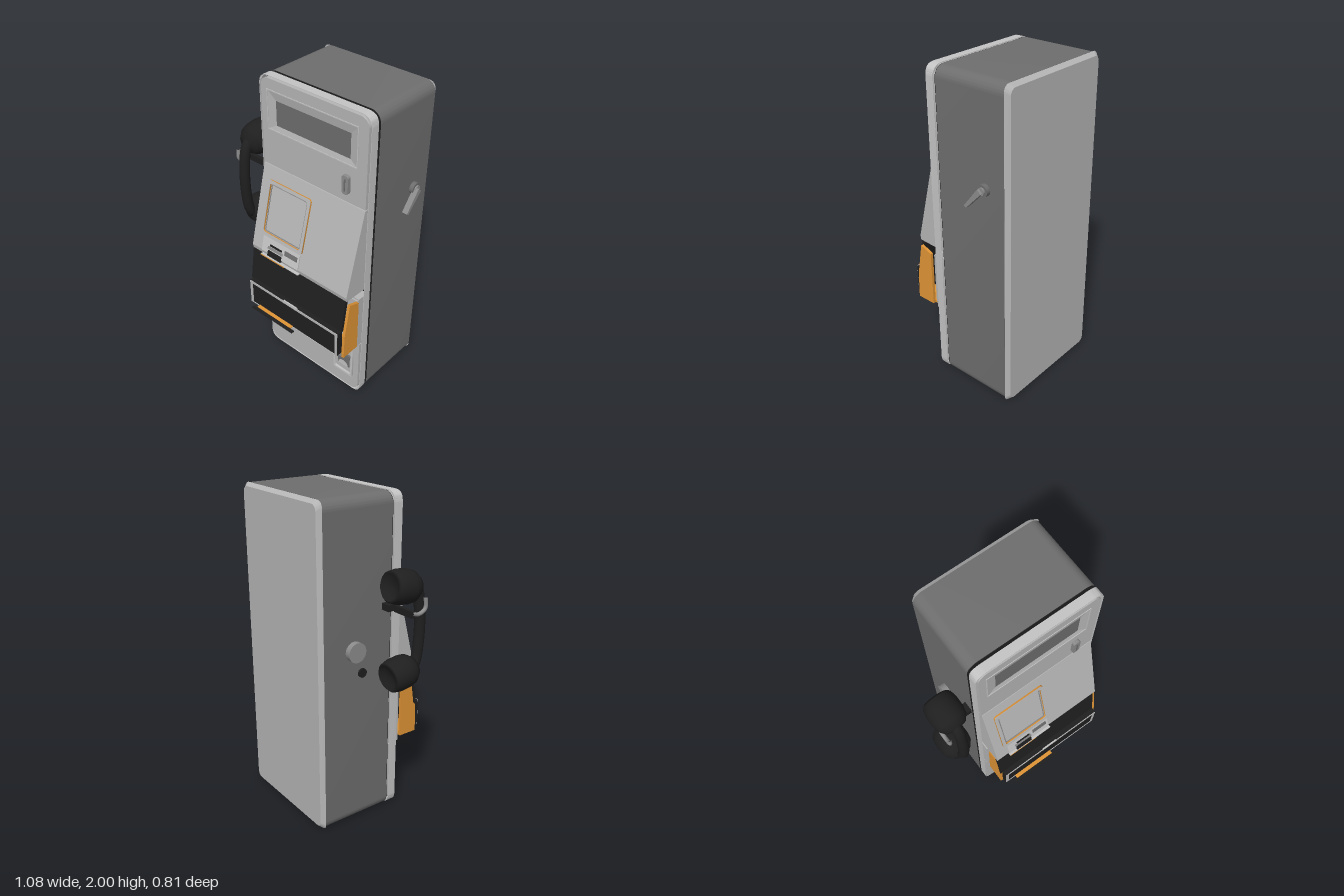
import * as THREE from 'three';
import { toCreasedNormals } from 'three/addons/utils/BufferGeometryUtils.js';

const mat = (name, color, extra = {}) => new THREE.MeshStandardMaterial({ name, color, ...extra });

export function createModel() {
  const root = new THREE.Group();
  root.name = 'payphone';
  const M = {
    body: mat('dark grey steel', 0x6e6e6e),
    plate: mat('light grey metal', 0xb6b6b6),
    trim: mat('pale trim', 0xc4c4c4, { side: THREE.DoubleSide }),
    black: mat('black plastic', 0x1f1f1f, { side: THREE.DoubleSide }),
    orange: mat('orange enamel', 0xe09436),
    steel: mat('mid grey metal', 0x8c8c8c),
  };
  const add = (name, geo, m, parent = root) => {
    const mesh = new THREE.Mesh(geo, m);
    mesh.name = name;
    parent.add(mesh);
    return mesh;
  };
  const box = (name, m, x0, x1, y0, y1, z0, z1, parent) => {
    const b = add(name, new THREE.BoxGeometry(x1 - x0, y1 - y0, z1 - z0), m, parent);
    b.position.set((x0 + x1) / 2, (y0 + y1) / 2, (z0 + z1) / 2);
    return b;
  };
  // Rectangle with separate top and bottom corner radii
  const rect = (x0, x1, y0, y1, rt = 0, rb = rt, S = THREE.Shape) => {
    const s = new S();
    s.moveTo(x0 + rb, y0).lineTo(x1 - rb, y0);
    if (rb) s.absarc(x1 - rb, y0 + rb, rb, -Math.PI / 2, 0);
    s.lineTo(x1, y1 - rt);
    if (rt) s.absarc(x1 - rt, y1 - rt, rt, 0, Math.PI / 2);
    s.lineTo(x0 + rt, y1);
    if (rt) s.absarc(x0 + rt, y1 - rt, rt, Math.PI / 2, Math.PI);
    s.lineTo(x0, y0 + rb);
    if (rb) s.absarc(x0 + rb, y0 + rb, rb, Math.PI, Math.PI * 1.5);
    return s;
  };
  const slab = (shape, z0, z1) => new THREE.ExtrudeGeometry(shape,
    { depth: z1 - z0, bevelEnabled: false, curveSegments: 8 }).translate(0, 0, z0);
  const frame = (name, m, o, i, z0, z1, r = 0, parent) => {
    const s = rect(...o, r);
    s.holes.push(rect(...i, r * 0.7, r * 0.7, THREE.Path));
    return add(name, toCreasedNormals(slab(s, z0, z1), 0.4), m, parent);
  };
  // Side profile of [z, y] points swept from x0 to x1
  const sweep = (name, m, pts, x0, x1) => add(name, new THREE.ExtrudeGeometry(
    new THREE.Shape(pts.map((p) => new THREE.Vector2(...p))),
    { depth: x1 - x0, bevelEnabled: false }).rotateY(-Math.PI / 2).translate(x1, 0, 0), m);

  // Housing shell, and a pale rear cover whose back edge is drawn in to a chamfer
  add('housing', toCreasedNormals(slab(rect(-0.3, 0.49, 0, 2, 0.065), -0.382, 0.085), 0.4), M.body);
  const coverGeo = slab(rect(-0.299, 0.489, 0.001, 1.999, 0.04), -0.408, -0.382);
  const p = coverGeo.attributes.position;
  for (let i = 0; i < p.count; i++) {
    if (p.getZ(i) > -0.4) continue;
    p.setX(i, 0.095 + (p.getX(i) - 0.095) * 0.945);
    p.setY(i, 1 + (p.getY(i) - 1) * 0.98);
  }
  add('rearCover', toCreasedNormals(coverGeo, 0.4), M.plate);
  add('gasket', slab(rect(-0.299, 0.489, 0.001, 1.999, 0.065), 0.085, 0.089), M.black);

  // Pale rim standing round the front plates, with a dark groove inside it
  frame('plateRim', M.trim, [-0.3, 0.49, 0, 2], [-0.297, 0.487, 0.003, 1.997], 0.102, 0.155, 0.065);

  // Upper plate with a shallow recess around the display
  const X0 = -0.284, X1 = 0.474;
  const out = [-0.235, 0.405, 1.68, 1.915], inn = [-0.18, 0.355, 1.71, 1.862];
  const upper = rect(X0, X1, 1.442, 1.985, 0.055, 0);
  upper.holes.push(rect(...out, 0, 0, THREE.Path));
  add('upperPlate', toCreasedNormals(slab(upper, 0.102, 0.158), 0.4), M.plate);
  const corners = (r, z) => [[r[0], r[2], z], [r[1], r[2], z], [r[1], r[3], z], [r[0], r[3], z]];
  const A = corners(out, 0.158), B = corners(inn, 0.15), v = [];
  for (let i = 0; i < 4; i++) {
    const j = (i + 1) % 4;
    v.push(...A[i], ...A[j], ...B[j], ...A[i], ...B[j], ...B[i]);
  }
  const bezel = new THREE.BufferGeometry();
  bezel.setAttribute('position', new THREE.Float32BufferAttribute(v, 3));
  bezel.computeVertexNormals();
  add('displayBezel', bezel, M.plate);
  box('displayWindow', M.body, inn[0], inn[1], inn[2], inn[3], 0.142, 0.15);
  frame('displayRim', M.trim, [-0.241, 0.411, 1.674, 1.921], out, 0.158, 0.161);

  // Coin slot
  add('coinSlot', slab(rect(0.322, 0.366, 1.5, 1.615, 0.015), 0.158, 0.18), M.steel);
  box('coinSlit', M.body, 0.34, 0.348, 1.52, 1.595, 0.18, 0.183);

  // Sloping instruction panel
  sweep('slopingPanel', M.plate,
    [[0.102, 0.87], [0.292, 0.88], [0.297, 0.907], [0.16, 1.437], [0.102, 1.437]], X0, X1);
  const slope = new THREE.Group();
  slope.name = 'instructionPanel';
  slope.position.set(0, 0.907, 0.297);
  slope.rotation.x = -Math.atan2(0.137, 0.53);
  root.add(slope);
  const cardOut = [-0.225, 0.112, 0.11, 0.465], cardIn = [-0.205, 0.092, 0.13, 0.445];
  frame('cardFrameBase', M.orange, cardOut, cardIn, 0, 0.01, 0.02, slope);
  frame('cardFrame', M.plate, cardOut, cardIn, 0.01, 0.013, 0.02, slope);
  frame('cardEdge', M.steel, [-0.2, 0.087, 0.135, 0.44], [-0.195, 0.082, 0.14, 0.435], 0, 0.004, 0.012, slope);
  box('cardReaderPlate', M.trim, -0.2, 0.1, 0.0, 0.1, 0, 0.006, slope);
  box('cardReaderSlot', M.black, -0.145, -0.035, -0.012, 0.024, 0, 0.012, slope);
  box('cardReaderLip', M.steel, -0.15, -0.03, 0.034, 0.05, 0, 0.012, slope);
  box('cardReaderGuide', M.black, -0.135, -0.04, 0.055, 0.067, 0, 0.01, slope);
  box('selectorButton', M.body, -0.015, 0.085, 0.048, 0.078, 0, 0.01, slope);
  box('readerLedge', M.trim, -0.2, 0.11, 0.88, 0.885, 0.28, 0.312);
  box('readerLedgeEdge', M.orange, -0.2, 0.0, 0.877, 0.884, 0.311, 0.314);

  // Middle and lower plates
  box('middlePlate', M.plate, X0, X1, 0.437, 0.82, 0.102, 0.18);
  add('lowerPlate', toCreasedNormals(slab(rect(X0, X1, 0.015, 0.43, 0, 0.055), 0.102, 0.158), 0.4), M.plate);

  // Directory bin: orange cheeks and floor, black front panels
  const cheek = [[0.2, 0.46], [0.325, 0.46], [0.32, 0.63], [0.28, 0.85], [0.2, 0.82]];
  for (const [x0, x1] of [[-0.284, -0.268], [0.471, 0.489]]) sweep('binCheek', M.orange, cheek, x0, x1);
  box('binFloor', M.orange, -0.268, 0.471, 0.46, 0.475, 0.18, 0.322);
  box('binFloorLip', M.steel, -0.268, 0.471, 0.462, 0.485, 0.322, 0.326);
  box('binBack', M.plate, -0.268, 0.471, 0.475, 0.81, 0.18, 0.19);
  sweep('binUpperPanel', M.black, [[0.305, 0.655], [0.324, 0.655], [0.292, 0.875], [0.272, 0.87]], -0.284, 0.465);
  box('binFlap', M.black, -0.268, 0.465, 0.485, 0.66, 0.315, 0.355);
  frame('flapTrim', M.plate, [-0.265, 0.462, 0.483, 0.661], [-0.245, 0.445, 0.488, 0.644], 0.355, 0.359);
  box('flapLatch', M.trim, 0.03, 0.14, 0.65, 0.668, 0.352, 0.361);

  // Thin pull lip along the foot of the flap
  box('pullLip', M.orange, -0.19, 0.1, 0.486, 0.492, 0.355, 0.38);
  box('pullLipEdge', M.black, -0.215, 0.135, 0.485, 0.491, 0.38, 0.402);

  // Coin return
  frame('returnFrame', M.trim, [0.28, 0.435, 0.12, 0.41], [0.293, 0.422, 0.135, 0.395], 0.155, 0.172, 0.015);
  box('returnHood', M.body, 0.298, 0.417, 0.277, 0.288, 0.156, 0.172);
  box('returnMouth', M.body, 0.312, 0.405, 0.18, 0.277, 0.158, 0.164);
  box('returnStripe', M.black, 0.3, 0.415, 0.385, 0.393, 0.158, 0.166);
  const cup = add('returnCup', new THREE.CircleGeometry(0.04, 16, 0, Math.PI), M.trim);
  cup.position.set(0.358, 0.181, 0.167);

  // Handset: two cups facing the rear, joined by a bowed handle in front
  const handset = new THREE.Group();
  handset.name = 'handset';
  handset.position.set(-0.44, 1.248, 0);
  root.add(handset);
  const cupProfile = [[0, -0.035], [0.06, -0.04], [0.075, -0.068], [0.09, -0.055], [0.1, -0.01], [0.1, 0.05],
    [0.092, 0.09], [0.065, 0.125], [0, 0.145]].map((q) => new THREE.Vector2(...q));
  for (const s of [1, -1]) {
    const end = new THREE.Group();
    end.name = s > 0 ? 'earpiece' : 'mouthpiece';
    end.position.set(0, s * 0.262, 0.02);
    end.rotation.x = s * 0.14;
    handset.add(end);
    add('cup', new THREE.LatheGeometry(cupProfile, 28).rotateX(Math.PI / 2), M.black, end);
  }
  const bow = new THREE.CatmullRomCurve3([[-0.29, 0.09], [-0.23, 0.155], [-0.1, 0.182], [0.1, 0.182],
    [0.23, 0.155], [0.29, 0.09]].map(([y, z]) => new THREE.Vector3(0, y, z)));
  add('handle', new THREE.TubeGeometry(bow, 28, 0.033, 12), M.black, handset);

  // Cradle holding the handset
  box('cradleArm', M.black, -0.36, -0.29, 1.34, 1.38, 0.02, 0.08);
  box('cradleBar', M.black, -0.51, -0.36, 1.335, 1.375, 0.06, 0.085);
  const prong = new THREE.CatmullRomCurve3([[1.36, 0.07], [1.35, 0.12], [1.375, 0.165], [1.44, 0.165]]
    .map(([y, z]) => new THREE.Vector3(-0.505, y, z)));
  add('cradleProng', new THREE.TubeGeometry(prong, 12, 0.012, 8), M.steel);

  // Left side: volume knob and cord outlet
  const disc = (name, m, r, x0, x1, y, z) => add(name,
    new THREE.CylinderGeometry(r, r, x1 - x0, 24).rotateZ(Math.PI / 2).translate((x0 + x1) / 2, y, z), m);
  disc('sideKnob', M.steel, 0.06, -0.335, -0.298, 1.13, -0.175);
  disc('cordOutlet', M.black, 0.028, -0.312, -0.298, 0.985, -0.12);

  // Right side: lock disc with a tapered lever
  disc('lockDisc', M.body, 0.036, 0.488, 0.515, 1.4, -0.25);
  disc('lockCap', M.steel, 0.022, 0.515, 0.525, 1.4, -0.25);
  sweep('lockLever', M.steel,
    [[-0.238, 1.415], [-0.262, 1.392], [-0.155, 1.28], [-0.14, 1.29]], 0.505, 0.54);
  return root;
}
